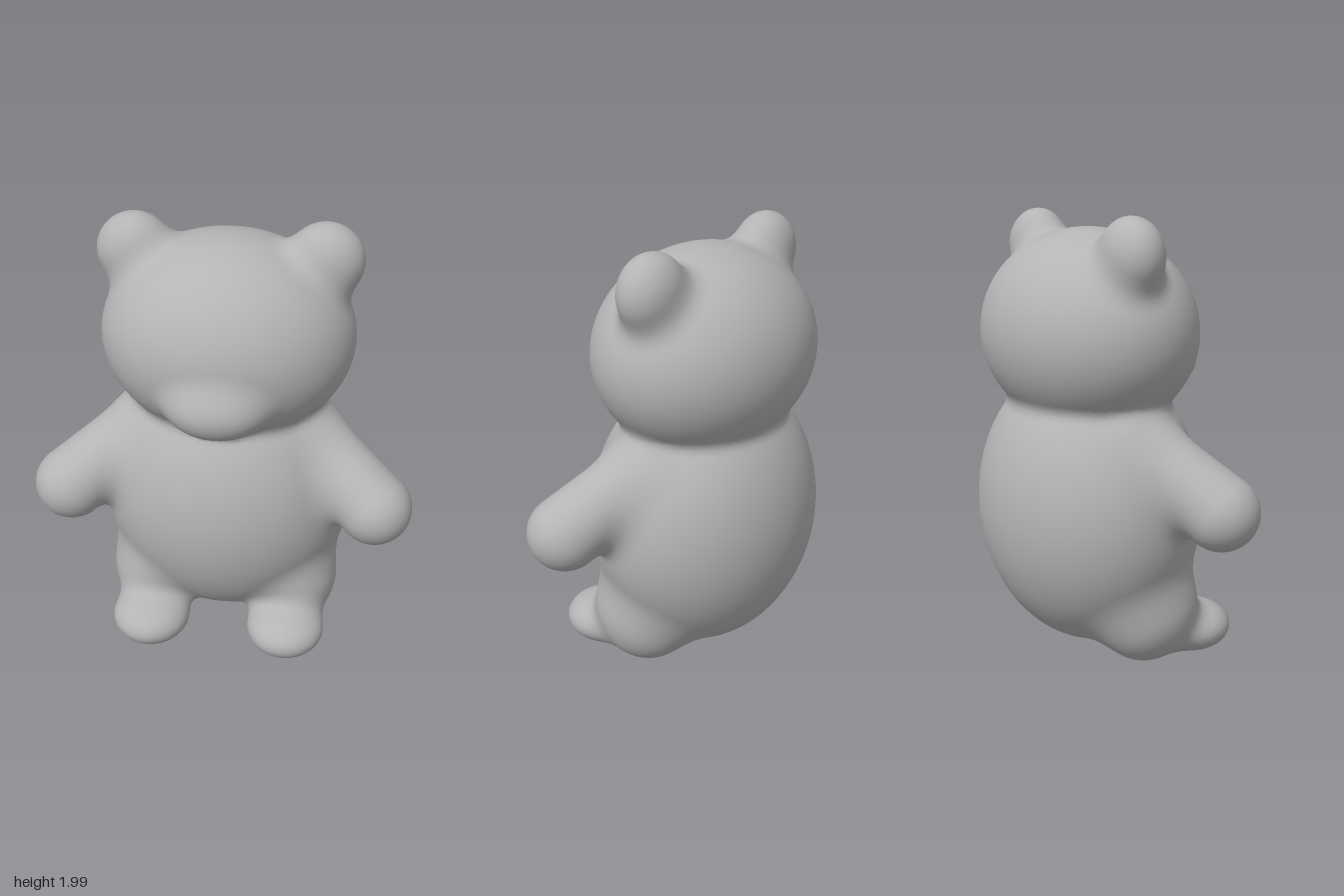
import * as THREE from 'three';

const grey = new THREE.MeshStandardMaterial({ color: 0xb4b4b4 });
grey.name = 'softGrey';

// Distance to an ellipsoid with centre c and radii r
const ellipsoid = (c, r) => (x, y, z) => {
  const a = (x - c[0]) / r[0], b = (y - c[1]) / r[1], d = (z - c[2]) / r[2];
  const k0 = Math.hypot(a, b, d), k1 = Math.hypot(a / r[0], b / r[1], d / r[2]);
  return k1 < 1e-6 ? -Math.min(...r) : k0 * (k0 - 1) / k1;
};

// Distance to a round limb running from p to q
const limb = (p, q, r0, r1) => {
  const v = q.map((n, i) => n - p[i]), len2 = v[0] ** 2 + v[1] ** 2 + v[2] ** 2;
  return (x, y, z) => {
    const a = x - p[0], b = y - p[1], c = z - p[2];
    const t = Math.min(1, Math.max(0, (a * v[0] + b * v[1] + c * v[2]) / len2));
    return Math.hypot(a - v[0] * t, b - v[1] * t, c - v[2] * t) - r0 - (r1 - r0) * t;
  };
};

// Each part melts into the ones before it over a width of blend
const parts = [
  { name: 'body', blend: 0.01, f: ellipsoid([0, 0.7, -0.028], [0.582, 0.655, 0.487]) },
  { name: 'head', blend: 0.05, f: ellipsoid([0, 1.482, -0.028], [0.555, 0.453, 0.462]) },
  { name: 'muzzle', blend: 0.07, f: ellipsoid([0, 1.335, 0.34], [0.22, 0.145, 0.16]) },
];
for (const [side, s] of [['left', 1], ['right', -1]]) {
  parts.push(
    { name: side + 'Ear', blend: 0.09, f: ellipsoid([s * 0.405, 1.834, -0.06], [0.165, 0.166, 0.13]) },
    { name: side + 'Arm', blend: 0.1, f: limb([s * 0.35, 1.03, 0.01], [s * 0.69, 0.777, 0.215], 0.15, 0.166) },
    { name: side + 'Leg', blend: 0.09, f: ellipsoid([s * 0.325, 0.26, 0.08], [0.212, 0.248, 0.245]) },
    { name: side + 'Foot', blend: 0.08, f: ellipsoid([s * 0.32, 0.122, 0.33], [0.18, 0.114, 0.183]) },
  );
}

// Blended distance of the whole figure
function field(x, y, z) {
  let d = 10;
  for (const { f, blend } of parts) {
    const e = f(x, y, z), h = Math.max(blend - Math.abs(d - e), 0) / blend;
    d = Math.min(d, e) - h * h * blend / 4;
  }
  return d;
}

function gradient([x, y, z]) {
  const e = 0.002;
  return [
    (field(x + e, y, z) - field(x - e, y, z)) / (2 * e),
    (field(x, y + e, z) - field(x, y - e, z)) / (2 * e),
    (field(x, y, z + e) - field(x, y, z - e)) / (2 * e),
  ];
}

export function createModel() {
  const step = 0.022, lo = [-0.95, -0.06, -0.6], n = [87, 97, 54];
  const stride = [1, n[0], n[0] * n[1]];
  const at = (i, j, k) => i + j * stride[1] + k * stride[2];
  const values = new Float32Array(n[0] * n[1] * n[2]);
  const eachCell = (margin, fn) => {
    for (let k = margin; k < n[2] - margin; k++)
      for (let j = margin; j < n[1] - margin; j++)
        for (let i = margin; i < n[0] - margin; i++) fn(i, j, k, at(i, j, k));
  };
  eachCell(0, (i, j, k, id) => {
    values[id] = field(lo[0] + i * step, lo[1] + j * step, lo[2] + k * step);
  });

  // One skin point in every grid cell the surface passes through
  const points = [], normals = [], pointOf = new Map();
  const corners = [0, 1, 2, 3, 4, 5, 6, 7].map((b) => [b & 1, (b >> 1) & 1, b >> 2]);
  eachCell(1, (i, j, k, id) => {
    const inside = corners.filter(([a, b, c]) => values[at(i + a, j + b, k + c)] < 0).length;
    if (inside === 0 || inside === 8) return;
    const p = [i, j, k].map((v, a) => lo[a] + (v + 0.5) * step);
    for (let pass = 0; pass < 4; pass++) {
      const g = gradient(p), d = field(...p);
      const g2 = Math.max(g[0] ** 2 + g[1] ** 2 + g[2] ** 2, 0.2);
      for (let a = 0; a < 3; a++) p[a] -= g[a] * d / g2;
    }
    const g = gradient(p), len = Math.hypot(...g) || 1;
    p[1] = Math.max(p[1], 0);
    pointOf.set(id, points.length);
    points.push(p);
    normals.push(g.map((v) => v / len));
  });

  // Join the points around each crossed grid edge, sorting faces by nearest part
  const skins = parts.map(() => ({ position: [], normal: [] }));
  const addTriangle = (tri) => {
    const c = [0, 1, 2].map((a) => (points[tri[0]][a] + points[tri[1]][a] + points[tri[2]][a]) / 3);
    const near = parts.map(({ f }) => f(...c));
    const skin = skins[near.indexOf(Math.min(...near))];
    for (const v of tri) {
      skin.position.push(...points[v]);
      skin.normal.push(...normals[v]);
    }
  };
  eachCell(2, (i, j, k, id) => {
    for (let axis = 0; axis < 3; axis++) {
      const from = values[id] < 0, to = values[id + stride[axis]] < 0;
      if (from === to) continue;
      const u = stride[(axis + 1) % 3], v = stride[(axis + 2) % 3];
      const q = [id - u - v, id - v, id, id - u].map((cell) => pointOf.get(cell));
      if (!from) q.reverse();
      addTriangle([q[0], q[1], q[2]]);
      addTriangle([q[0], q[2], q[3]]);
    }
  });

  const bear = new THREE.Group();
  bear.name = 'bear';
  parts.forEach(({ name }, i) => {
    const geometry = new THREE.BufferGeometry();
    for (const key of ['position', 'normal'])
      geometry.setAttribute(key, new THREE.Float32BufferAttribute(skins[i][key], 3));
    const mesh = new THREE.Mesh(geometry, grey);
    mesh.name = name;
    bear.add(mesh);
  });
  return bear;
}
